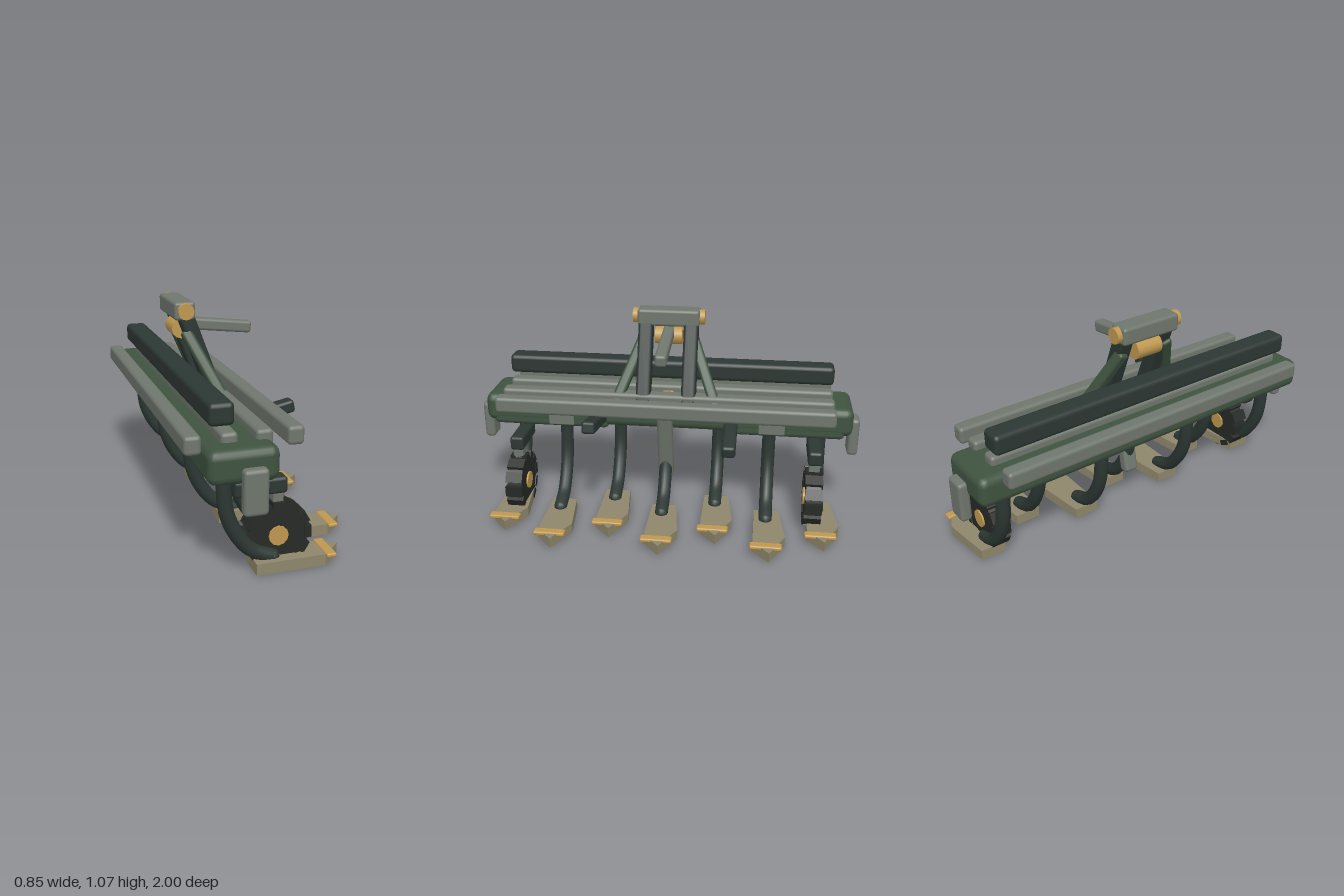
import * as THREE from 'three';
import { RoundedBoxGeometry } from 'three/addons/geometries/RoundedBoxGeometry.js';

const mat = (color) => new THREE.MeshStandardMaterial({ color });

export function createModel() {
  const model = new THREE.Group();
  const green = mat(0x3f5340), dark = mat(0x2c3733), grey = mat(0x6f776d);
  const gold = mat(0xbf9850), tan = mat(0x8f876b), tyre = mat(0x262a26);

  const add = (name, geometry, material, parent = model) => {
    const mesh = new THREE.Mesh(geometry, material);
    mesh.name = name;
    parent.add(mesh);
    return mesh;
  };

  // Rounded box given by its extents on each axis
  const box = (name, material, [x0, x1], [y0, y1], [z0, z1], r = 0.015, parent = model) => {
    const mesh = add(name, new RoundedBoxGeometry(x1 - x0, y1 - y0, z1 - z0, 2, r), material, parent);
    mesh.position.set((x0 + x1) / 2, (y0 + y1) / 2, (z0 + z1) / 2);
    return mesh;
  };

  // Rounded bar running from point a to point b
  const bar = (name, material, a, b, height, depth, r = 0.015) => {
    const p = new THREE.Vector3(...a), q = new THREE.Vector3(...b);
    const mesh = add(name, new RoundedBoxGeometry(p.distanceTo(q), height, depth, 2, r), material);
    const x = q.clone().sub(p).normalize();
    const y = new THREE.Vector3(0, 0, 1).cross(x).normalize();
    const z = x.clone().cross(y);
    mesh.quaternion.setFromRotationMatrix(new THREE.Matrix4().makeBasis(x, y, z));
    mesh.position.copy(p).add(q).multiplyScalar(0.5);
    return mesh;
  };

  // Cylinder lying along z
  const pin = (name, material, x, y, z, r, length, sides, parent = model) => {
    const mesh = add(name, new THREE.CylinderGeometry(r, r, length, sides).rotateX(Math.PI / 2), material, parent);
    mesh.position.set(x, y, z);
    return mesh;
  };

  // Main beam, top rails and ballast bar
  box('mainBeam', green, [-0.356, -0.05], [0.47, 0.62], [-0.96, 0.96], 0.04);
  for (const x of [-0.392, -0.238, -0.086, 0.053])
    box('topRail', grey, [x - 0.037, x + 0.037], [0.576, 0.66], [-0.86, 0.86], 0.018);
  box('ballastBar', dark, [-0.325, -0.215], [0.688, 0.787], [-0.86, 0.86], 0.022);

  // Headstock with its pins and top link
  box('headBlock', grey, [-0.283, -0.181], [0.985, 1.072], [-0.16, 0.16], 0.016);
  pin('headPin', gold, -0.232, 1.03, 0, 0.039, 0.37, 12);
  pin('linkPin', gold, -0.23, 0.928, 0, 0.046, 0.14, 12);
  bar('topLink', grey, [-0.245, 0.951, 0], [0.144, 0.906, 0], 0.06, 0.058);
  box('mastSeat', gold, [-0.21, -0.11], [0.59, 0.63], [-0.03, 0.03], 0.008);
  bar('parkingStand', grey, [-0.02, 0.62, 0], [-0.122, 0.17, 0], 0.062, 0.08, 0.02);

  // Parts found on both sides
  for (const s of [-1, 1]) {
    bar('mast', dark, [-0.225, 1.01, s * 0.117], [-0.048, 0.53, s * 0.117], 0.075, 0.075);
    bar('brace', green, [-0.225, 0.93, s * 0.125], [-0.035, 0.54, s * 0.285], 0.055, 0.055);
    bar('lowerLink', dark, [-0.12, s > 0 ? 0.51 : 0.572, s * 0.343],
      [0.245, s > 0 ? 0.587 : 0.49, s * 0.343], 0.062, 0.068);
    box('beamLowerSection', green, [-0.27, -0.052], [0.455, 0.54], s > 0 ? [0.3, 0.92] : [-0.92, -0.3], 0.025);
    box('beamPlate', grey, [-0.08, -0.043], [0.47, 0.53], [s * 0.55 - 0.067, s * 0.55 + 0.067], 0.006);
    box('endPlate', grey, [-0.222, -0.115], [0.345, 0.545], s > 0 ? [0.945, 1] : [-1, -0.945], 0.018);

    // Depth wheel with lugs, hub and hanger
    const wheel = new THREE.Group();
    wheel.name = 'depthWheel';
    wheel.position.set(-0.003, 0.155, s * 0.776);
    model.add(wheel);
    pin('tyre', tyre, 0, 0, 0, 0.137, 0.076, 24, wheel);
    pin('hub', gold, 0, 0, 0, 0.045, 0.094, 12, wheel);
    for (let i = 0; i < 12; i++) {
      const a = (i / 12) * Math.PI * 2;
      const lug = add('lug', new THREE.BoxGeometry(0.03, 0.056, 0.088), tyre, wheel);
      lug.position.set(Math.cos(a) * 0.138, Math.sin(a) * 0.138, 0);
      lug.rotation.z = a;
    }
    box('wheelArm', dark, [-0.2, 0.04], [0.345, 0.42], [s * 0.776 - 0.036, s * 0.776 + 0.036]);
    box('wheelPost', grey, [-0.025, 0.025], [0.2, 0.36], [s * 0.776 - 0.028, s * 0.776 + 0.028], 0.008);
  }

  // Tines: curved shank, flat share and clip, in two staggered rows
  const path = new THREE.CatmullRomCurve3([
    [-0.25, 0.5], [-0.25, 0.4], [-0.237, 0.29], [-0.195, 0.19], [-0.125, 0.105], [-0.03, 0.062],
  ].map(([x, y]) => new THREE.Vector3(x, y, 0)));
  const shankGeometry = new THREE.TubeGeometry(path, 24, 0.034, 12);
  const outline = [[-0.12, -0.06], [0.2, -0.06], [0.291, 0.022], [0.133, 0.1], [-0.12, 0.068]];
  const shareGeometry = new THREE.ExtrudeGeometry(
    new THREE.Shape(outline.map(([x, y]) => new THREE.Vector2(x, y))),
    { depth: 0.053, bevelEnabled: false }).rotateX(-Math.PI / 2);

  for (let i = -3; i <= 3; i++) {
    const tine = new THREE.Group();
    tine.name = 'tine';
    tine.position.set(i % 2 ? 0 : 0.133, 0, i * 0.27);
    if (Math.abs(i) % 2 === 1) tine.position.x = 0;
    model.add(tine);
    add('shank', shankGeometry, dark, tine);
    const tip = add('shankEnd', new THREE.SphereGeometry(0.034, 12, 8), dark, tine);
    tip.position.set(-0.03, 0.062, 0);
    add('share', shareGeometry, tan, tine).position.y = 0.007;
    box('shareClip', gold, [0.2, 0.247], [0.045, 0.066], [-0.083, 0.075], 0.008, tine);
  }

  // Staggered order: centre and second-outermost tines reach further forward
  const order = [0, 1, 0, 1, 0, 1, 0];
  model.children.filter((c) => c.name === 'tine')
    .forEach((tine, i) => { tine.position.x = order[i] * 0.133; });

  return model;
}
